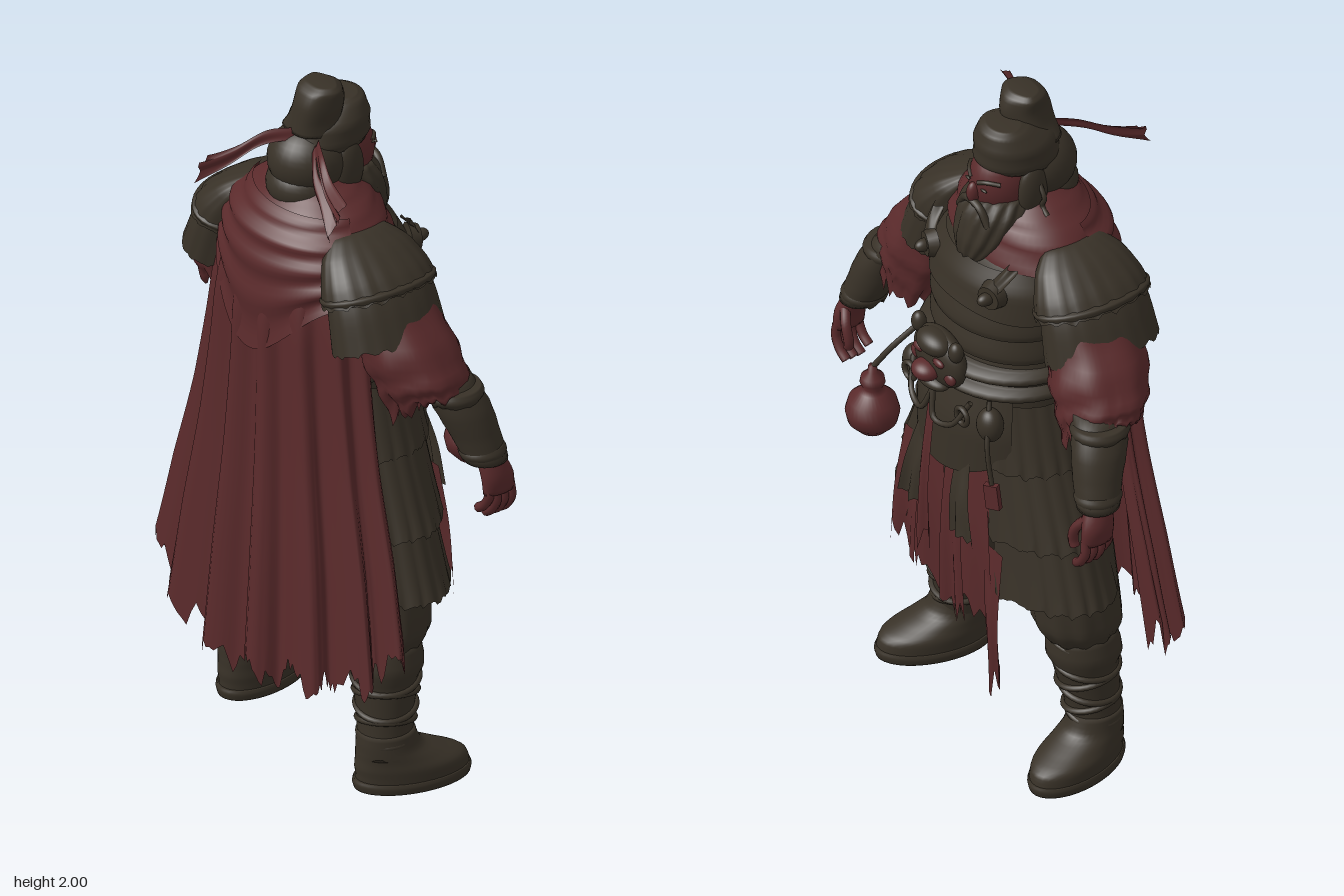
import * as THREE from 'three';

const dark = new THREE.MeshStandardMaterial({ color: 0x383127, side: THREE.DoubleSide });
dark.name = 'weathered armour';
const red = new THREE.MeshStandardMaterial({ color: 0x5a2a2b, side: THREE.DoubleSide });
red.name = 'dusty red';

const V = (x, y, z) => new THREE.Vector3(x, y, z);
const TAU = Math.PI * 2;
const rag = (i) => { const s = Math.sin(i * 12.9898) * 43758.5453; return s - Math.floor(s); };

function add(parent, name, geo, mat, pos = [0, 0, 0], scale = [1, 1, 1], rot = [0, 0, 0]) {
  const m = new THREE.Mesh(geo, mat);
  m.name = name;
  m.position.set(...pos); m.scale.set(...scale); m.rotation.set(...rot);
  parent.add(m);
  return m;
}

// Grid of rows x columns turned into a smooth surface; wrap joins the last column to the first
function grid(pos, rows, cols, wrap) {
  const idx = [], last = wrap ? cols : cols - 1;
  for (let i = 0; i < rows - 1; i++) for (let j = 0; j < last; j++) {
    const a = i * cols + j, b = i * cols + (j + 1) % cols;
    idx.push(a, a + cols, b, b, a + cols, b + cols);
  }
  const g = new THREE.BufferGeometry();
  g.setAttribute('position', new THREE.Float32BufferAttribute(pos, 3));
  g.setIndex(idx);
  g.computeVertexNormals();
  return g;
}

// Level elliptical rings [x, y, z, rx, rz] from top to bottom; angle 0 is the front
function loft(rows, { a0 = 0, a1 = TAU, n = 36, k = 4, fold = () => 1, hem = () => 0, cap = true } = {}) {
  const centre = new THREE.CatmullRomCurve3(rows.map(r => V(r[0], r[1], r[2])));
  const radius = new THREE.CatmullRomCurve3(rows.map(r => V(r[3], r[4], 0)));
  const wrap = a1 - a0 > 6.28, steps = (rows.length - 1) * k, cols = wrap ? n : n + 1;
  const ts = [...Array(steps + 1).keys()].map(i => [i / steps, 1]);
  if (wrap && cap) { ts.unshift([0, 0]); ts.push([1, 0]); }
  const pos = [];
  for (const [t, full] of ts) {
    const c = centre.getPoint(t), r = radius.getPoint(t);
    for (let j = 0; j < cols; j++) {
      const a = a0 + (a1 - a0) * j / n, f = full * fold(a, t);
      pos.push(c.x + Math.sin(a) * r.x * f, c.y + hem(a, j) * t ** 4, c.z + Math.cos(a) * r.y * f);
    }
  }
  return grid(pos, ts.length, cols, wrap);
}

// Torn cloth strip along a path, widening from w0 to w1 across the given direction
function strip(pts, w0, w1, across = V(1, 0, 0), tear = 0.07, seed = 1) {
  const curve = new THREE.CatmullRomCurve3(pts.map(p => V(...p))), pos = [], R = 14, C = 11;
  for (let i = 0; i <= R; i++) for (let j = 0; j < C; j++) {
    const t = i / R, u = j / (C - 1) - 0.5;
    const p = curve.getPoint(t).addScaledVector(across, u * (w0 + (w1 - w0) * t));
    p.z += 0.01 * t * Math.cos(u * 8 + seed);
    p.y += tear * t ** 8 * (rag(j + seed * 17) - 0.3);
    pos.push(p.x, p.y, p.z);
  }
  return grid(pos, R + 1, C, false);
}
const tube = (pts, r, n = 16) => new THREE.TubeGeometry(new THREE.CatmullRomCurve3(pts.map(p => V(...p))), n, r, 8);
const ball = new THREE.SphereGeometry(1, 28, 20);

function head(g) {
  add(g, 'face', ball, red, [0, 1.76, 0.04], [0.085, 0.11, 0.1]);
  add(g, 'nose', ball, red, [0, 1.745, 0.14], [0.017, 0.032, 0.02]);
  add(g, 'hair', ball, dark, [0, 1.77, -0.055], [0.108, 0.1, 0.115]);
  add(g, 'napeHair', ball, dark, [0, 1.7, -0.075], [0.1, 0.075, 0.1]);
  add(g, 'beard', loft([[0, 1.73, 0.045, 0.085, 0.08], [0, 1.68, 0.07, 0.1, 0.09], [0, 1.61, 0.1, 0.088, 0.08],
    [0, 1.56, 0.125, 0.06, 0.055], [0, 1.52, 0.15, 0.015, 0.015]],
    { n: 64, fold: (a, t) => 1 + 0.045 * Math.cos(14 * a + 5 * t) }), dark);
  for (const s of [-1, 1]) {
    add(g, 'sideburn', ball, dark, [s * 0.086, 1.75, 0.01], [0.026, 0.08, 0.045]);
    add(g, 'moustache', tube([[0, 1.722, 0.145], [s * 0.035, 1.71, 0.143], [s * 0.065, 1.665, 0.138]], 0.011), dark);
    add(g, 'eyebrow', tube([[s * 0.014, 1.782, 0.136], [s * 0.04, 1.792, 0.125], [s * 0.068, 1.79, 0.1]], 0.006), dark);
    add(g, 'eye', ball, dark, [s * 0.034, 1.766, 0.131], [0.013, 0.004, 0.005]);
  }
  add(g, 'looseLock', tube([[0.1, 1.78, 0], [0.125, 1.74, 0], [0.115, 1.71, 0], [0.14, 1.69, 0]], 0.007), dark);
  // Cap crown rises at the front, with the wrapped topknot behind it
  add(g, 'capCrown', loft([[0, 1.935, 0.045, 0.05, 0.04], [0, 1.925, 0.04, 0.07, 0.065], [0, 1.88, 0.012, 0.1, 0.108], [0, 1.83, 0, 0.102, 0.122],
    [0, 1.81, -0.005, 0.096, 0.114]], { fold: (a, t) => 1 + 0.012 * Math.cos(t * 25) }), dark);
  add(g, 'topknotWrap', loft([[-0.025, 2, -0.035, 0.048, 0.032], [-0.025, 1.985, -0.037, 0.063, 0.056], [-0.025, 1.945, -0.04, 0.062, 0.07],
    [-0.015, 1.9, -0.045, 0.066, 0.07], [0, 1.86, -0.05, 0.08, 0.07]], { fold: a => 1 + 0.03 * Math.cos(5 * a) }), dark);
  const up = V(0, 1, 0.5);
  add(g, 'hatRibbon', strip([[-0.02, 1.86, -0.1], [0.03, 1.85, -0.18], [0.06, 1.81, -0.26], [0.09, 1.78, -0.345]], 0.03, 0.06, up, 0.02, 2), red);
  add(g, 'hatRibbon', strip([[-0.08, 1.85, -0.09], [-0.15, 1.84, -0.13], [-0.22, 1.805, -0.16], [-0.32, 1.79, -0.19]], 0.025, 0.05, up, 0.02, 3), red);
  add(g, 'hatRibbon', strip([[-0.08, 1.84, -0.1], [-0.14, 1.79, -0.14], [-0.2, 1.76, -0.16], [-0.28, 1.71, -0.19]], 0.025, 0.06, up, 0.02, 4), red);
}

function torso(g) {
  add(g, 'trunk', loft([[0, 1.64, -0.02, 0.16, 0.12], [0, 1.5, 0, 0.24, 0.18], [0, 1.36, 0.02, 0.225, 0.18],
    [0, 1.22, 0.03, 0.22, 0.18], [0, 1.05, 0.03, 0.225, 0.18], [0, 0.9, 0.02, 0.24, 0.16]]), dark);
  // Chest plate and overlapping waist bands
  add(g, 'chestPlate', loft([[0, 1.56, 0.01, 0.2, 0.165], [0, 1.5, 0.01, 0.24, 0.195], [0, 1.43, 0.02, 0.245, 0.2]],
    { a0: -1.35, a1: 1.35, hem: a => 0.01 * Math.cos(a * 3) }), dark);
  for (let i = 0; i < 3; i++) {
    const y = 1.44 - i * 0.075;
    add(g, 'waistBand', loft([[0, y, 0.025, 0.222, 0.182], [0, y - 0.06, 0.028, 0.23, 0.194], [0, y - 0.08, 0.028, 0.226, 0.19]],
      { a0: -2, a1: 2, n: 40 }), dark);
  }
  for (const y of [1.245, 1.19]) add(g, 'belt', loft([[0, y + 0.026, 0.03, 0.22, 0.18], [0, y + 0.018, 0.03, 0.234, 0.202],
    [0, y - 0.018, 0.03, 0.234, 0.202], [0, y - 0.026, 0.03, 0.22, 0.18]]), dark);
  for (const s of [-1, 1]) {
    add(g, 'chestRosette', new THREE.CylinderGeometry(0.034, 0.042, 0.03, 20), dark, [s * 0.14, 1.505, 0.18], [1, 1, 1], [Math.PI / 2, 0, s * -0.3]);
    add(g, 'rosetteKnob', ball, dark, [s * 0.143, 1.505, 0.2], [0.018, 0.018, 0.026]);
    add(g, 'shoulderStrap', strip([[s * 0.14, 1.52, 0.185], [s * 0.16, 1.56, 0.16], [s * 0.17, 1.59, 0.135]], 0.05, 0.05, V(1, 0, 0), 0), dark);
  }
  // Beast mask on the belt
  add(g, 'beastMask', ball, dark, [0, 1.25, 0.245], [0.105, 0.085, 0.045]);
  add(g, 'beastSnout', ball, red, [0, 1.225, 0.292], [0.042, 0.028, 0.038]);
  add(g, 'beastBrow', ball, dark, [0, 1.305, 0.265], [0.06, 0.034, 0.042]);
  add(g, 'beastJaw', ball, dark, [0, 1.185, 0.268], [0.06, 0.022, 0.035]);
  for (const s of [-1, 1]) {
    add(g, 'beastEye', ball, red, [s * 0.045, 1.268, 0.283], [0.022, 0.012, 0.01]);
    add(g, 'beastEar', ball, dark, [s * 0.085, 1.315, 0.255], [0.022, 0.03, 0.02]);
    add(g, 'beastCheek', ball, red, [s * 0.075, 1.228, 0.267], [0.022, 0.02, 0.013]);
  }
  add(g, 'bellyApron', loft([[0, 1.17, 0.03, 0.235, 0.2], [0, 1.06, 0.03, 0.255, 0.228], [0, 0.99, 0.03, 0.255, 0.23]],
    { a0: -0.95, a1: 0.95, hem: a => -0.08 * Math.cos(a * 1.6) }), dark);
}

// Plated skirt tiers, open at the front, each flaring over the next
function skirt(g) {
  const tiers = [[0.8, 0.565, 0.34, 0.42, 0.175, 0.2], [1, 0.74, 0.27, 0.372, 0.18, 0.205], [1.15, 0.95, 0.232, 0.292, 0.18, 0.205]];
  for (const [y0, y1, x0, x1, z0, z1] of tiers)
    add(g, 'skirtTier', loft([[0, y0, 0.035, x0, z0], [0, (y0 + y1) / 2, 0.035, (x0 + x1) / 2, (z0 + z1) / 2], [0, y1, 0.035, x1, z1]],
      { a0: 0.5, a1: TAU - 0.5, n: 144, fold: a => 1 + 0.012 * Math.abs(Math.cos(a * 14)),
        hem: (a, j) => 0.018 * Math.abs(Math.cos(a * 14)) - 0.012 * rag(j) }), dark);
}

function cloth(g) {
  // Cape hung behind the arms, folds deepening to a torn hem
  add(g, 'cape', loft([[0, 1.66, -0.04, 0.16, 0.1], [0, 1.57, -0.06, 0.25, 0.15], [0, 1.4, -0.08, 0.29, 0.165], [0, 1.2, -0.09, 0.32, 0.16],
    [0, 0.95, -0.095, 0.365, 0.165], [0, 0.65, -0.1, 0.435, 0.18], [0, 0.33, -0.11, 0.49, 0.19]],
    { a0: 1.5, a1: TAU - 1.5, n: 170, k: 5,
      fold: (a, t) => 1 + (0.03 + 0.09 * t) * (0.45 + 0.7 * Math.abs(Math.cos(a))) * Math.cos(a * 15 + 0.5 * Math.sin(a * 4)) * Math.min(1, t * 2.5),
      hem: (a, j) => 0.15 * Math.abs(Math.sin(a)) ** 4 + 0.09 * (rag(Math.floor(j / 3)) - 0.5) + 0.05 * (rag(j + 400) - 0.5) }), red);
  add(g, 'shawl', loft([[0, 1.73, -0.035, 0.09, 0.085], [0, 1.695, -0.035, 0.145, 0.12], [0, 1.64, -0.04, 0.215, 0.16], [0, 1.56, -0.04, 0.255, 0.19]],
    { n: 64, cap: false, fold: (a, t) => 1 + 0.02 * Math.cos(t * 24 + Math.cos(a) * 3) }), red);
  // Looped folds draped over the back
  add(g, 'backDrape', loft([[0, 1.67, -0.04, 0.19, 0.14], [0, 1.6, -0.055, 0.25, 0.18], [0, 1.52, -0.065, 0.275, 0.19], [0, 1.46, -0.07, 0.285, 0.188]],
    { a0: 1.75, a1: TAU - 1.75, n: 48, k: 8, fold: (a, t) => 1 + 0.03 * Math.cos(t * 26 + 2 * Math.cos(a)), hem: a => -0.2 * Math.cos(a) ** 4 }), red);
  // Hanging strips: x, top, z, to x, bottom, z, widths, material
  [[-0.1, 1, 0.2, -0.12, 0.42, 0.2, 0.12, 0.18, red], [0.1, 1, 0.2, 0.11, 0.4, 0.2, 0.12, 0.18, red],
    [-0.19, 0.85, 0.19, -0.21, 0.48, 0.215, 0.1, 0.11, red], [0.03, 0.95, 0.22, 0.03, 0.42, 0.225, 0.07, 0.1, red],
    [-0.085, 0.96, 0.235, -0.11, 0.72, 0.27, 0.06, 0.09, dark], [0.09, 0.96, 0.235, 0.12, 0.73, 0.27, 0.06, 0.1, dark],
    [0.18, 0.7, 0.2, 0.2, 0.27, 0.215, 0.08, 0.05, red], [0, 1.1, 0.275, 0, 0.64, 0.3, 0.03, 0.07, red]].forEach(([x, y, z, x2, y2, z2, w, w2, m], i) =>
    add(g, m === red ? 'frontCloth' : 'frontPanel', strip([[x, y, z], [(x + x2) / 2, (y + y2) / 2, (z + z2) / 2 + 0.01], [x2, y2, z2]],
      w, w2, V(1, 0, 0), m === red ? 0.12 : 0.03, i + 1), m));
}

function arm(g, s) {
  const P = (r) => [s * r[0], ...r.slice(1)];
  // Two-tier guard sloping down from the neck
  const p = new THREE.Group();
  p.name = 'shoulderGuard';
  p.position.set(s * 0.3, 1.46, -0.04); p.rotation.z = s * 0.32;
  g.add(p);
  const plate = { n: 80, cap: false, fold: (a) => 1 + 0.012 * Math.abs(Math.cos(a * 9)), hem: (a, j) => 0.012 * Math.abs(Math.cos(a * 9)) - 0.01 * rag(j) };
  add(p, 'lowerPlate', loft([[-0.008, 0.08, 0, 0.085, 0.145], [0, 0, 0, 0.1, 0.158], [0, -0.105, 0, 0.112, 0.166]].map(P), plate), dark);
  add(p, 'upperPlate', loft([[-0.055, 0.2, 0, 0.004, 0.05], [-0.05, 0.19, 0, 0.035, 0.085], [-0.03, 0.145, 0, 0.068, 0.13],
    [-0.01, 0.08, 0, 0.095, 0.158], [-0.002, 0.025, 0, 0.11, 0.17]].map(P), plate), dark);
  add(p, 'plateTrim', loft([[-0.005, 0.055, 0, 0.1, 0.16], [-0.004, 0.045, 0, 0.114, 0.173], [-0.003, 0.032, 0, 0.11, 0.168]].map(P), { cap: false }), dark);
  add(g, 'sleeve', loft([[0.24, 1.54, -0.03, 0.09, 0.11], [0.325, 1.42, -0.015, 0.118, 0.128], [0.38, 1.31, 0.005, 0.14, 0.13],
    [0.405, 1.24, 0.018, 0.125, 0.118], [0.42, 1.18, 0.03, 0.1, 0.1]].map(P), { n: 60, cap: false,
    fold: (a, t) => 1 + 0.035 * Math.cos(t * 26 + Math.sin(a) * 4 * s) + 0.02 * Math.cos(a * 7),
    hem: (a, j) => 0.06 * s * Math.sin(a) + 0.06 * (rag(j) - 0.5) }), red);
  add(g, 'forearm', loft([[0.44, 1.28, 0.05, 0.068, 0.076], [0.49, 1.2, 0.078, 0.068, 0.078], [0.52, 1.11, 0.105, 0.063, 0.067],
    [0.545, 1.045, 0.12, 0.055, 0.06]].map(P), { fold: (a, t) => 1 + 0.02 * Math.cos(t * 40) }), dark);
  for (const [x, y, z, r] of [[0.475, 1.235, 0.066, 0.078], [0.535, 1.07, 0.114, 0.062]])
    add(g, 'bracerCuff', loft([[x, y + 0.02, z, r - 0.01, r - 0.005], [x, y, z, r, r + 0.004], [x, y - 0.02, z, r - 0.01, r - 0.005]].map(P),
      { hem: (a, j) => 0.02 * (rag(j) - 0.5) }), dark);
  add(g, 'palm', loft([[0.548, 1.06, 0.125, 0.036, 0.038], [0.568, 1, 0.138, 0.03, 0.048], [0.57, 0.95, 0.142, 0.022, 0.048]].map(P), { n: 20 }), red);
  for (let i = 0; i < 4; i++) {
    const z = 0.106 + i * 0.024, d = i === 0 ? 0.02 : 0;
    add(g, 'finger', tube([[0.57, 0.965, z], [0.572, 0.925 + d, z + 0.003], [0.553, 0.89 + d, z + 0.003], [0.528, 0.87 + d, z]].map(P), 0.0135), red);
  }
  add(g, 'thumb', tube([[0.553, 1.02, 0.165], [0.528, 0.985, 0.18], [0.515, 0.94, 0.18], [0.52, 0.92, 0.178]].map(P), 0.0145), red);
}

function leg(g, s) {
  const P = (r) => [s * r[0], ...r.slice(1)];
  add(g, 'trouserLeg', loft([[0.12, 0.98, 0.01, 0.11, 0.13], [0.2, 0.75, 0.01, 0.135, 0.135], [0.255, 0.55, 0, 0.122, 0.122],
    [0.268, 0.46, -0.005, 0.118, 0.12], [0.278, 0.4, -0.01, 0.085, 0.09]].map(P), { n: 60, fold: (a, t) => 1 + 0.03 * t * Math.cos(a * 11) }), dark);
  add(g, 'shin', loft([[0.28, 0.43, -0.01, 0.088, 0.09], [0.285, 0.32, -0.018, 0.088, 0.09], [0.3, 0.2, -0.03, 0.073, 0.076],
    [0.31, 0.1, -0.035, 0.07, 0.076]].map(P)), dark);
  for (let i = 0; i < 7; i++) {
    const y = 0.395 - i * 0.04, r = 0.086 - Math.max(0, i - 2) * 0.004;
    add(g, 'legWrap', new THREE.TorusGeometry(r, 0.009, 8, 32), dark, [s * (0.281 + i * 0.004), y, -0.013 - i * 0.003], [1, 1.03, 1],
      [Math.PI / 2 + (i % 2 ? 0.16 : -0.1), s * (i % 2 ? 0.2 : -0.2), 0]);
  }
  const b = new THREE.Group();
  b.name = 'boot';
  b.position.set(s * 0.31, 0, -0.03); b.rotation.y = s * 0.24;
  g.add(b);
  add(b, 'bootUpper', loft([[0, 0.17, -0.005, 0.068, 0.077], [0, 0.12, 0.005, 0.074, 0.09], [0, 0.09, 0.035, 0.08, 0.122], [0, 0.06, 0.065, 0.087, 0.155],
    [0, 0.02, 0.072, 0.086, 0.16]]), dark);
  add(b, 'bootSole', loft([[0, 0.03, 0.07, 0.088, 0.162], [0, 0.018, 0.07, 0.091, 0.166], [0, 0, 0.07, 0.088, 0.162]]), dark);
}

function beltGear(g) {
  add(g, 'gourd', new THREE.LatheGeometry([[0, -0.072], [0.037, -0.063], [0.066, -0.032], [0.073, 0], [0.064, 0.036], [0.036, 0.062], [0.026, 0.074],
    [0.034, 0.092], [0.031, 0.11], [0.014, 0.125], [0.011, 0.145], [0, 0.147]].map(p => new THREE.Vector2(...p)), 32), red, [-0.262, 0.922, 0.28]);
  add(g, 'gourdCord', tube([[-0.2, 1.2, 0.17], [-0.23, 1.13, 0.24], [-0.262, 1.06, 0.28]], 0.008), dark);
  add(g, 'tag', new THREE.BoxGeometry(0.04, 0.075, 0.018), red, [0.225, 0.92, 0.235], [1, 1, 1], [0, 0.5, 0.12]);
  add(g, 'tagCord', tube([[0.16, 1.18, 0.2], [0.2, 1.06, 0.235], [0.222, 0.95, 0.235]], 0.007), dark);
  for (const s of [-1, 1]) {
    add(g, 'pouch', ball, dark, [s * 0.17, 1.11, 0.205], [0.04, 0.05, 0.035]);
    add(g, 'beltLoop', tube([[s * 0.13, 1.17, 0.24], [s * 0.09, 1.09, 0.275], [s * 0.03, 1.08, 0.288], [0, 1.15, 0.27]], 0.008), dark);
    add(g, 'beltRing', new THREE.TorusGeometry(0.024, 0.008, 8, 20), dark, [s * 0.12, 1.13, 0.26]);
  }
}

export function createModel() {
  const figure = new THREE.Group();
  figure.name = 'warrior';
  for (const build of [head, torso, skirt, cloth, beltGear]) build(figure);
  for (const s of [-1, 1]) { arm(figure, s); leg(figure, s); }
  // The figure looks along +x
  figure.rotation.y = Math.PI / 2;
  const model = new THREE.Group();
  model.name = 'model';
  model.add(figure);
  return model;
}
